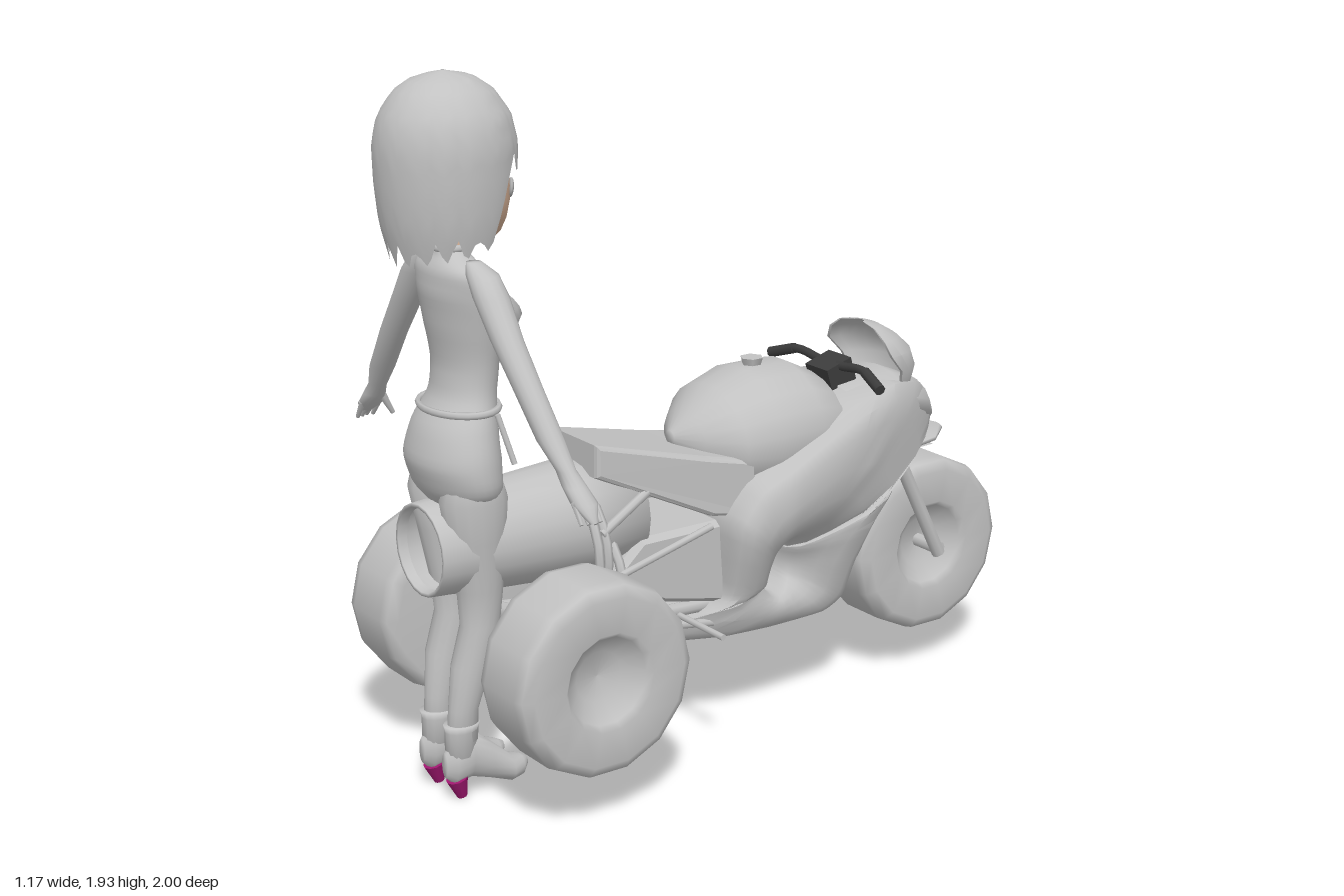
import * as THREE from 'three';
import { toCreasedNormals } from 'three/addons/utils/BufferGeometryUtils.js';

const V = (x, y, z) => new THREE.Vector3(x, y, z);
const mat = (name, color) => {
  const m = new THREE.MeshStandardMaterial({ color, side: THREE.DoubleSide });
  m.name = name;
  return m;
};

// Piecewise linear lookup in [[key, value], ...]
function lookup(table, k) {
  if (k <= table[0][0]) return table[0][1];
  for (let i = 1; i < table.length; i++) {
    const [a, va] = table[i - 1], [b, vb] = table[i];
    if (k <= b) return va + (vb - va) * (k - a) / (b - a);
  }
  return table[table.length - 1][1];
}

// Skin over closed rings of points; turned outward by its signed volume
function skin(rings, caps = true, crease = 0) {
  const n = rings[0].length, pts = rings.flat(), idx = [];
  for (let j = 0; j < rings.length - 1; j++) for (let i = 0; i < n; i++) {
    const a = j * n + i, b = j * n + (i + 1) % n;
    idx.push(a, b, b + n, a, b + n, a + n);
  }
  if (caps) [0, rings.length - 1].forEach((j) => {
    const c = pts.length;
    pts.push(rings[j].reduce((s, p) => s.add(p), V(0, 0, 0)).divideScalar(n));
    for (let i = 0; i < n; i++) {
      const a = j * n + i, b = j * n + (i + 1) % n;
      if (j) idx.push(a, b, c); else idx.push(b, a, c);
    }
  });
  let vol = 0;
  for (let i = 0; i < idx.length; i += 3)
    vol += pts[idx[i]].dot(V(0, 0, 0).crossVectors(pts[idx[i + 1]], pts[idx[i + 2]]));
  if (vol < 0) idx.reverse();
  const g = new THREE.BufferGeometry().setFromPoints(pts);
  g.setIndex(idx);
  g.computeVertexNormals();
  return crease ? toCreasedNormals(g, crease) : g;
}

// Loft of ellipses [x, y, z, a, b] lying across the given axis
function loft(axis, sections, n = 16) {
  return skin(sections.map(([x, y, z, a, b]) => Array.from({ length: n }, (_, i) => {
    const t = (i + 0.5) / n * Math.PI * 2, c = a * Math.cos(t), s = b * Math.sin(t);
    return axis === 'y' ? V(x + c, y, z + s) : V(x + c, y + s, z);
  })));
}

function rod(a, b, r, r2 = r, n = 8) {
  const p = V(...a), q = V(...b), d = q.clone().sub(p);
  const g = new THREE.CylinderGeometry(r2, r, d.length(), n);
  g.applyQuaternion(new THREE.Quaternion().setFromUnitVectors(V(0, 1, 0), d.normalize()));
  return g.translate(...p.add(q).multiplyScalar(0.5).toArray());
}

export function createModel() {
  const root = new THREE.Group();
  const grey = mat('light grey', 0xc2c2c2), flesh = mat('skin', 0xd8b398);
  const dark = mat('dark grey', 0x3c3c3c), pink = mat('magenta', 0xa01870), iris = mat('eye grey', 0xb0b0b0);
  const bike = new THREE.Group(), rider = new THREE.Group();
  bike.name = 'trike'; rider.name = 'woman';
  root.add(bike, rider);
  const add = (parent, name, geo, m = grey) => {
    const mesh = new THREE.Mesh(geo, m);
    mesh.name = name;
    parent.add(mesh);
    return mesh;
  };
  const pair = (parent, name, geo, m = grey) => {
    add(parent, name + 'Left', geo, m);
    add(parent, name + 'Right', geo, m).scale.x = -1;
  };

  // Wheels: lathed tyres with dished hubs
  const wheel = (h, dishBoth) => {
    const half = [[0.265, 0.6], [0.258, 0.85], [0.23, 1], [0.135, 1], [0.12, 0.85], [0.07, 0.5], [0, 0.42]];
    const inner = dishBoth ? half.map(([r, x]) => [r, -x]).reverse()
      : [[0, -1], [0.23, -1], [0.258, -0.85], [0.265, -0.6]];
    const pts = [...inner, ...half].map(([r, x]) => new THREE.Vector2(r, x * h));
    return new THREE.LatheGeometry(pts, 14).rotateZ(-Math.PI / 2);
  };
  pair(bike, 'rearWheel', wheel(0.115, false).translate(0.343, 0.403, 0.64));
  add(bike, 'frontWheel', wheel(0.115, true)).position.set(0, 0.385, -0.735);

  // Fairing: surface spreading from the side hole out to the silhouette, scooped ahead of the hole
  const outline = [[0.25, 0.33], [0.12, 0.37], [0.06, 0.42], [0.07, 0.64], [0, 0.74], [-0.13, 0.8], [-0.38, 0.9],
    [-0.55, 0.92], [-0.69, 0.89], [-0.78, 0.76], [-0.58, 0.66], [-0.47, 0.55], [-0.41, 0.43], [-0.39, 0.31],
    [-0.32, 0.27], [-0.1, 0.275], [0.2, 0.285], [0.25, 0.3]];
  const edge = new THREE.CatmullRomCurve3(outline.map(([z, y]) => V(0, y, z)), true, 'catmullrom', 0.25).getPoints(72).slice(0, 72);
  const widths = [[-0.8, 0.04], [-0.7, 0.12], [-0.55, 0.19], [-0.4, 0.245], [-0.1, 0.275], [0.05, 0.265], [0.15, 0.19], [0.25, 0.13]];
  const rows = [[0, 0], [0.02, 0.6], [0.08, 0.8], [0.18, 0.9], [0.35, 0.97], [0.55, 1], [0.8, 0.98], [0.93, 0.92], [1, 0.78], [1, 0]];
  const fairing = rows.map(([t, f]) => edge.map((e) => {
    const ang = Math.atan2(e.y - 0.455, e.z + 0.14);
    const scoop = 1 - 0.4 * Math.max(0, -Math.cos(ang - 0.2)) ** 3 * Math.max(0, 1 - 1.4 * t);
    const y = THREE.MathUtils.lerp(0.455 + 0.08 * Math.sin(ang), e.y, t);
    const z = THREE.MathUtils.lerp(-0.14 + 0.05 * Math.cos(ang), e.z, t);
    return V(f * scoop * lookup(widths, z) * lookup([[0.27, 0.55], [0.6, 1]], y), y, z);
  }));
  pair(bike, 'fairing', skin(fairing, false, 0.8));

  // Tank, filler cap, seat and nose
  add(bike, 'tank', loft('z', [[0, 0.85, 0.13, 0.02, 0.02], [0, 0.84, 0.08, 0.1, 0.08], [0, 0.83, 0, 0.19, 0.15],
    [0, 0.83, -0.1, 0.215, 0.185], [0, 0.83, -0.25, 0.21, 0.185], [0, 0.83, -0.34, 0.19, 0.14], [0, 0.84, -0.38, 0.15, 0.07]], 20));
  add(bike, 'fillerCap', new THREE.CylinderGeometry(0.034, 0.028, 0.02, 6).translate(0, 1.024, -0.15));
  const seat = new THREE.Shape([[-0.44, 0.9], [-0.12, 0.82], [0.02, 0.79], [0.02, 0.65], [-0.1, 0.67], [-0.44, 0.83]]
    .map((p) => new THREE.Vector2(...p)));
  const seatGeo = new THREE.ExtrudeGeometry(seat, { depth: 0.28, bevelSize: 0.012, bevelThickness: 0.02, bevelSegments: 2 })
    .translate(0, 0, -0.14).rotateY(Math.PI / 2);
  const sp = seatGeo.attributes.position;
  for (let i = 0; i < sp.count; i++) sp.setX(i, sp.getX(i) * lookup([[0, 1.15], [0.45, 0.75]], sp.getZ(i)));
  seatGeo.computeVertexNormals();
  add(bike, 'seat', seatGeo);
  add(bike, 'nose', loft('z', [[0, 0.86, -0.42, 0.16, 0.06], [0, 0.86, -0.6, 0.155, 0.08],
    [0, 0.82, -0.72, 0.11, 0.07], [0, 0.77, -0.79, 0.04, 0.025]], 14));

  // Windscreen: thin curved shell, rows of [y, half width, back z, front z]
  const screen = [[0.9, 0.12, -0.6, -0.69], [0.95, 0.14, -0.585, -0.7], [1.0, 0.148, -0.54, -0.685],
    [1.04, 0.125, -0.53, -0.64], [1.07, 0.08, -0.53, -0.59], [1.08, 0.02, -0.535, -0.55]];
  add(bike, 'windscreen', skin(screen.map(([y, w, back, front]) => Array.from({ length: 26 }, (_, i) => {
    const a = Math.PI * (i < 13 ? i : 25 - i) / 12, k = i < 13 ? 1 : 0.92;
    return V(k * w * Math.cos(a), y, back + k * (front - back) * Math.sin(a));
  })), false, 0.7));

  // Handlebar and instruments
  const bar = new THREE.CatmullRomCurve3([[-0.25, 0.95, -0.41], [-0.15, 0.98, -0.43], [-0.05, 0.97, -0.435],
    [0.05, 0.97, -0.435], [0.15, 0.98, -0.43], [0.25, 0.95, -0.41]].map((p) => V(...p)));
  add(bike, 'handlebar', new THREE.TubeGeometry(bar, 20, 0.013, 8), dark);
  pair(bike, 'grip', rod([0.16, 0.979, -0.429], [0.25, 0.95, -0.41], 0.016), dark);
  add(bike, 'instruments', new THREE.BoxGeometry(0.1, 0.07, 0.09).rotateX(0.3).translate(0, 0.945, -0.435), dark);

  // Front fork and mudguard
  pair(bike, 'fork', rod([0.145, 0.37, -0.735], [0.145, 0.74, -0.55], 0.02));
  add(bike, 'frontAxle', rod([-0.15, 0.385, -0.735], [0.15, 0.385, -0.735], 0.02));
  add(bike, 'mudguard', new THREE.CylinderGeometry(0.305, 0.305, 0.2, 10, 1, true, 0.15, 1.45)
    .rotateZ(Math.PI / 2).translate(0, 0.39, -0.735));
  add(bike, 'mudguardTip', loft('z', [[0, 0.7, -0.62, 0.12, 0.015], [0, 0.715, -0.74, 0.12, 0.018], [0, 0.71, -0.84, 0.03, 0.01]], 10));

  // Engine, tail turbine and its clamping rings
  const block = new THREE.Shape([[-0.42, 0.53], [-0.32, 0.62], [-0.02, 0.62], [-0.02, 0.4], [-0.25, 0.45]]
    .map((p) => new THREE.Vector2(...p)));
  add(bike, 'engine', new THREE.ExtrudeGeometry(block, { depth: 0.26, bevelSize: 0.015, bevelThickness: 0.02, bevelSegments: 1 })
    .translate(0, 0, -0.13).rotateY(Math.PI / 2));
  const turbine = [[0.11, 0.9], [0.115, 0.925], [0.125, 0.925], [0.13, 0.86], [0.142, 0.74], [0.152, 0.6], [0.16, 0.48], [0.15, 0.3], [0, 0.28]];
  add(bike, 'turbine', new THREE.LatheGeometry(turbine.map((p) => new THREE.Vector2(...p)).reverse(), 20)
    .rotateX(Math.PI / 2).translate(0, 0.69, 0));
  [[0.495, 0.195, 0.615], [0.468, 0.195, 0.615], [0.42, 0.2, 0.5]].forEach(([z, r, y]) =>
    add(bike, 'clampRing', new THREE.TorusGeometry(r, 0.013, 6, 24).translate(0, y, z)));

  // Frame tubes, axle struts and foot pegs
  const tubes = [
    ['swingArm', [0.1, 0.38, 0.05], [0.13, 0.42, 0.62], 0.02], ['axle', [0, 0.44, 0.62], [0.26, 0.4, 0.64], 0.026],
    ['axleStrut', [0.1, 0.6, 0.5], [0.25, 0.42, 0.64], 0.014], ['lowerTube', [0.14, 0.34, 0.08], [0.16, 0.4, 0.42], 0.012],
    ['seatStay', [0.13, 0.76, 0.3], [0.18, 0.69, 0.48], 0.013], ['sideStay', [0.18, 0.64, 0.12], [0.2, 0.56, 0.48], 0.01],
    ['footPeg', [0.1, 0.38, 0.19], [0.33, 0.38, 0.19], 0.009]];
  tubes.forEach(([name, a, b, r]) => pair(bike, name, rod(a, b, r)));

  // Torso: smooth profile with the bust swelled out of its front
  const profile = [[0.79, 0.08, 0.8, 0.06], [0.85, 0.158, 0.808, 0.1], [0.93, 0.165, 0.82, 0.112], [1.02, 0.142, 0.81, 0.1],
    [1.1, 0.113, 0.785, 0.078], [1.18, 0.112, 0.775, 0.078], [1.28, 0.128, 0.78, 0.088], [1.37, 0.14, 0.795, 0.085],
    [1.43, 0.135, 0.81, 0.065], [1.465, 0.07, 0.81, 0.045], [1.48, 0.04, 0.81, 0.04]];
  const spine = new THREE.CatmullRomCurve3(profile.map(([y, rx, z]) => V(rx, y, z)));
  const depths = profile.map(([y, , , rz]) => [y, rz]);
  const torso = loft('y', spine.getPoints(44).map((p) => [0, p.y, p.z, p.x, lookup(depths, p.y)]), 32);
  const tp = torso.attributes.position;
  for (let i = 0; i < tp.count; i++) {
    const x = Math.abs(tp.getX(i)) - 0.06, y = tp.getY(i) - 1.295;
    const swell = Math.exp(-(x * x) / 0.003 - (y * y) / (y > 0 ? 0.005 : 0.0028));
    if (tp.getZ(i) < 0.775) tp.setZ(i, tp.getZ(i) - 0.068 * swell);
  }
  torso.computeVertexNormals();
  add(rider, 'torso', torso);
  add(rider, 'belt', new THREE.TorusGeometry(0.128, 0.01, 6, 28).rotateX(Math.PI / 2).scale(1, 1, 0.74).translate(0, 1.065, 0.797));
  add(rider, 'beltStrap', rod([0.13, 1.06, 0.76], [0.16, 0.93, 0.73], 0.008));

  // Arms and hands
  pair(rider, 'arm', loft('y', [[0.575, 0.895, 0.765, 0.01, 0.012], [0.535, 0.935, 0.765, 0.032, 0.034], [0.5, 0.97, 0.77, 0.034, 0.03],
    [0.47, 1.005, 0.775, 0.03, 0.024], [0.42, 1.07, 0.785, 0.04, 0.034], [0.33, 1.19, 0.795, 0.045, 0.036],
    [0.25, 1.29, 0.8, 0.048, 0.04], [0.18, 1.385, 0.8, 0.052, 0.045], [0.14, 1.435, 0.8, 0.047, 0.04], [0.11, 1.462, 0.805, 0.02, 0.02]], 14));
  for (let i = 0; i < 4; i++) {
    const z = 0.74 + i * 0.017;
    pair(rider, 'finger', rod([0.53, 0.94, z], [0.575 - 0.006 * Math.abs(i - 1), 0.89, z], 0.01, 0.006, 6));
  }
  pair(rider, 'thumb', rod([0.495, 0.965, 0.75], [0.5, 0.905, 0.715], 0.013, 0.007, 6));

  // Legs and heeled boots
  pair(rider, 'leg', loft('y', [[0.08, 0.92, 0.81, 0.06, 0.07], [0.08, 0.83, 0.808, 0.075, 0.095], [0.075, 0.72, 0.8, 0.067, 0.082],
    [0.07, 0.58, 0.79, 0.056, 0.064], [0.066, 0.48, 0.79, 0.05, 0.054], [0.066, 0.37, 0.82, 0.05, 0.056],
    [0.062, 0.25, 0.845, 0.036, 0.042], [0.06, 0.16, 0.85, 0.034, 0.045]]));
  pair(rider, 'bootCuff', loft('y', [[0.06, 0.12, 0.855, 0.034, 0.045], [0.06, 0.19, 0.852, 0.036, 0.047], [0.062, 0.21, 0.852, 0.04, 0.052]], 14));
  pair(rider, 'boot', loft('z', [[0.06, 0.1, 0.905, 0.015, 0.035], [0.06, 0.1, 0.88, 0.032, 0.06], [0.06, 0.115, 0.83, 0.035, 0.065],
    [0.06, 0.085, 0.77, 0.037, 0.055], [0.06, 0.048, 0.71, 0.042, 0.04], [0.06, 0.045, 0.675, 0.032, 0.03], [0.06, 0.05, 0.655, 0.012, 0.014]], 14));
  pair(rider, 'heel', rod([0.06, 0, 0.855], [0.06, 0.055, 0.87], 0.014, 0.03, 10), pink);

  // Neck, collar and face
  add(rider, 'neck', new THREE.CylinderGeometry(0.037, 0.042, 0.1, 14).translate(0, 1.51, 0.795), flesh);
  add(rider, 'collar', new THREE.TorusGeometry(0.043, 0.01, 6, 18).rotateX(Math.PI / 2).translate(0, 1.483, 0.805));
  add(rider, 'head', loft('y', [[0, 1.495, 0.7, 0.022, 0.022], [0, 1.51, 0.71, 0.045, 0.045], [0, 1.55, 0.745, 0.092, 0.09],
    [0, 1.6, 0.77, 0.122, 0.122], [0, 1.67, 0.785, 0.135, 0.135], [0, 1.76, 0.8, 0.13, 0.13], [0, 1.85, 0.81, 0.08, 0.08]], 24), flesh);
  add(rider, 'noseTip', new THREE.ConeGeometry(0.012, 0.045, 6).rotateX(0.2).translate(0, 1.595, 0.65), flesh);
  pair(rider, 'eye', new THREE.SphereGeometry(1, 16, 10).scale(0.034, 0.025, 0.008).rotateX(-0.12).rotateY(-0.46).translate(0.058, 1.625, 0.661), iris);

  // Bobbed hair with a ragged hem, open over the face
  const hairRadius = [[1.46, 0.145], [1.55, 0.168], [1.65, 0.178], [1.75, 0.18], [1.82, 0.165], [1.88, 0.125], [1.915, 0.075], [1.93, 0.004]];
  const hair = [];
  for (let j = 0; j <= 14; j++) hair.push(Array.from({ length: 72 }, (_, i) => {
    const a = (i / 72) * Math.PI * 2 - Math.PI, jag = [0, 0.03, 0.055, 0.02][i % 4] * (i % 3 ? 1 : 0.6);
    const hem = lookup([[0, 1.45], [1.2, 1.475], [1.9, 1.5], [2.08, 1.67], [Math.PI, 1.69]], Math.abs(a)) + jag;
    const y = 1.93 - (1.93 - hem) * Math.pow(j / 14, 1.5), r = lookup(hairRadius, y);
    return V(r * Math.sin(a), y, 0.815 + r * 1.02 * Math.cos(a));
  }));
  add(rider, 'hair', skin(hair, false));

  return root;
}
